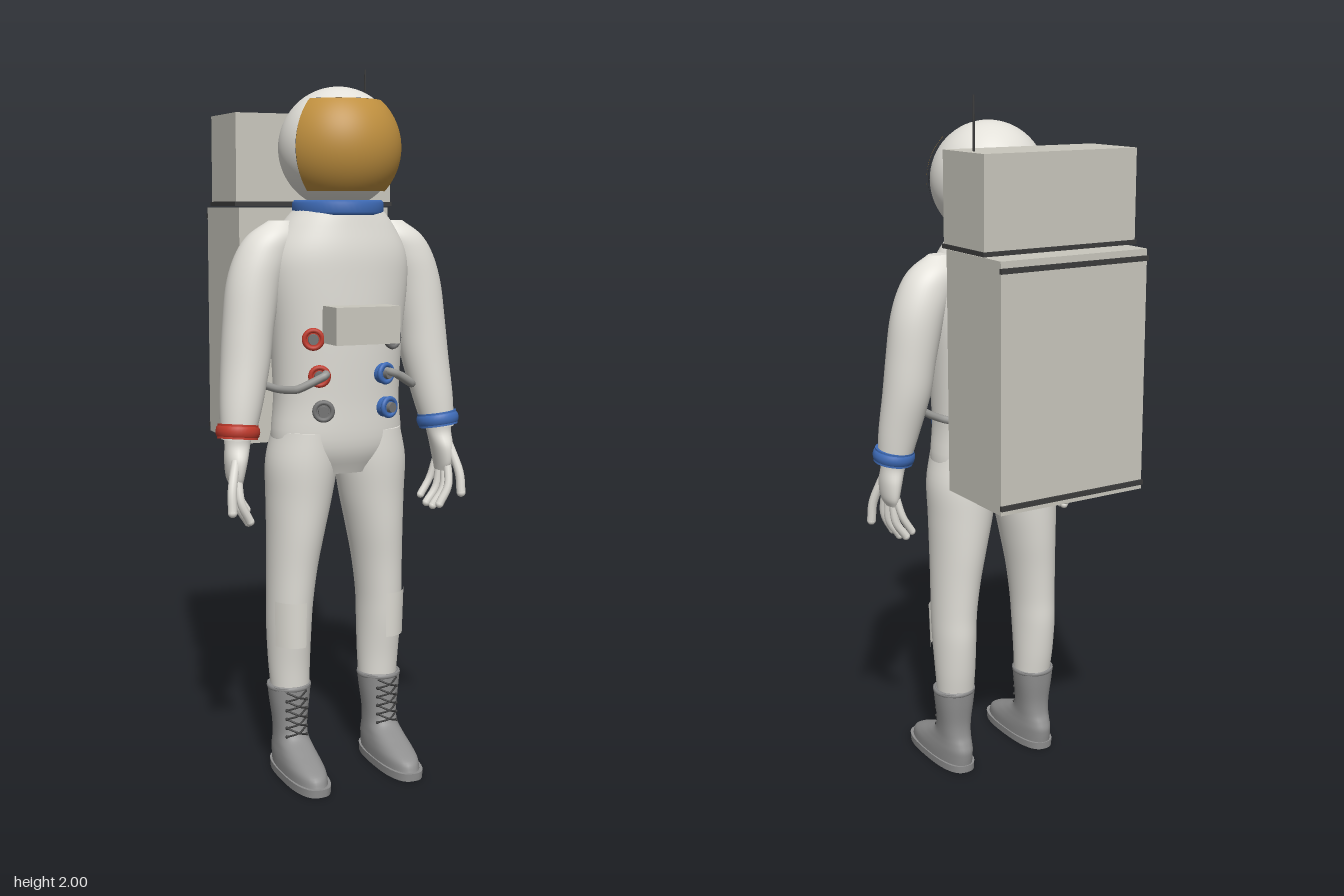
import * as THREE from 'three';

const mat = (name, color, extra = {}) => new THREE.MeshStandardMaterial({ name, color, ...extra });

export function createModel() {
  const root = new THREE.Group();
  root.name = 'spacesuitFigure';
  const suit = mat('suitWhite', 0xe2e0d9);
  const pack = mat('packGrey', 0xc9c7bd);
  const bootGrey = mat('bootGrey', 0x8f8f8f);
  const dark = mat('darkTrim', 0x3c3c3c);
  const gold = mat('visorGold', 0xc0903f);
  const blue = mat('blue', 0x3f6cb8);
  const red = mat('red', 0xbf3a2c);
  const hoseGrey = mat('hoseGrey', 0x9a9a97);
  const valveGrey = mat('valveGrey', 0x747474);
  const patchWhite = mat('patchWhite', 0xdedcd4, { side: THREE.DoubleSide });

  const add = (name, geo, material, pos = [0, 0, 0], parent = root) => {
    const m = new THREE.Mesh(geo, material);
    m.name = name;
    m.position.set(...pos);
    parent.add(m);
    return m;
  };

  // Smooth skin over horizontal rings [x, y, z, rx, rz], listed from bottom to top
  const loft = (rings, n = 2, seg = 40, per = 5) => {
    const centres = new THREE.CatmullRomCurve3(rings.map(r => new THREE.Vector3(r[0], r[1], r[2])), false, 'catmullrom');
    const radii = new THREE.CatmullRomCurve3(rings.map(r => new THREE.Vector3(r[3], 0, r[4])), false, 'catmullrom');
    const rows = (rings.length - 1) * per;
    const pos = [], idx = [];
    const pw = v => Math.sign(v) * Math.abs(v) ** (2 / n);
    const ring = t => {
      const c = centres.getPoint(t), r = radii.getPoint(t);
      for (let j = 0; j < seg; j++) {
        const a = j / seg * Math.PI * 2;
        pos.push(c.x + r.x * pw(Math.cos(a)), c.y, c.z + r.z * pw(Math.sin(a)));
      }
      return c;
    };
    for (let i = 0; i <= rows; i++) ring(i / rows);
    for (let i = 0; i < rows; i++) for (let j = 0; j < seg; j++) {
      const k = (j + 1) % seg, a = i * seg + j, b = i * seg + k;
      idx.push(a, a + seg, b, b, a + seg, b + seg);
    }
    for (const t of [0, 1]) {
      const base = pos.length / 3, c = ring(t), mid = base + seg;
      pos.push(c.x, c.y, c.z);
      for (let j = 0; j < seg; j++) {
        const a = base + j, b = base + (j + 1) % seg;
        t ? idx.push(mid, b, a) : idx.push(mid, a, b);
      }
    }
    const g = new THREE.BufferGeometry();
    g.setAttribute('position', new THREE.Float32BufferAttribute(pos, 3));
    g.setIndex(idx);
    g.computeVertexNormals();
    return g;
  };

  // Round tube through points
  const tube = (pts, r, n = 24, tension = 0.5) => new THREE.TubeGeometry(
    new THREE.CatmullRomCurve3(pts.map(p => new THREE.Vector3(...p)), false, 'catmullrom', tension), n, r, 10);

  // Torso
  add('torso', loft([
    [0, 0.87, 0.095, 0.13, 0.09], [0, 0.95, 0.1, 0.188, 0.118], [0, 1.08, 0.1, 0.182, 0.126],
    [0, 1.25, 0.1, 0.19, 0.136], [0, 1.4, 0.1, 0.205, 0.139], [0, 1.48, 0.1, 0.198, 0.138],
    [0, 1.55, 0.105, 0.16, 0.123], [0, 1.6, 0.11, 0.118, 0.11]], 2.2, 56), suit);

  // Helmet, visor and neck ring
  const c = [0, 1.76, 0.11];
  const patch = (r, phi, t0, t1) => new THREE.SphereGeometry(r, 40, 28, Math.PI / 2 - phi, phi * 2, t0, t1 - t0);
  add('helmet', new THREE.SphereGeometry(0.164, 48, 32), suit, c);
  add('visorRim', patch(0.1685, 1.15, 0.71, 2.33), dark, c);
  add('visor', patch(0.173, 1.12, 0.75, 2.31), gold, c);
  add('neckRing', new THREE.LatheGeometry([[0.09, -0.02], [0.12, -0.02], [0.126, -0.012], [0.126, 0.012],
    [0.12, 0.02], [0.09, 0.02]].map(p => new THREE.Vector2(...p)), 48), blue, [0, 1.6, 0.11]);

  // Backpack with trim strips and aerial
  add('lowerPack', new THREE.BoxGeometry(0.46, 0.67, 0.272), pack, [0, 1.265, -0.188]);
  add('upperPack', new THREE.BoxGeometry(0.476, 0.25, 0.206), pack, [0, 1.735, -0.155]);
  add('upperPackTrim', new THREE.BoxGeometry(0.484, 0.012, 0.212), dark, [0, 1.61, -0.156]);
  for (const y of [1.575, 0.95]) add('packStrip', new THREE.BoxGeometry(0.464, 0.014, 0.008), dark, [0, y, -0.326]);
  add('aerial', new THREE.CylinderGeometry(0.003, 0.003, 0.14, 8), dark, [0.205, 1.93, -0.155]);

  // Chest control box
  add('chestBox', new THREE.BoxGeometry(0.186, 0.1, 0.1), pack, [-0.002, 1.29, 0.267]);

  // Hose connectors
  const valve = (x, y, material) => {
    const g = new THREE.Group();
    g.name = 'connector';
    g.position.set(x, y, 0.1 + 0.133 * Math.sqrt(1 - (x / 0.187) ** 2));
    g.rotation.y = Math.sign(x) * 0.35;
    add('connectorBase', new THREE.CylinderGeometry(0.026, 0.029, 0.03, 24).rotateX(Math.PI / 2), material, [0, 0, 0.004], g);
    add('connectorRing', new THREE.TorusGeometry(0.024, 0.007, 10, 24), material, [0, 0, 0.016], g);
    add('connectorCap', new THREE.CylinderGeometry(0.014, 0.016, 0.02, 16).rotateX(Math.PI / 2), valveGrey, [0, 0, 0.02], g);
    root.add(g);
  };
  valve(-0.115, 1.25, red);
  valve(-0.1, 1.15, red);
  valve(0.11, 1.245, valveGrey);
  valve(-0.09, 1.055, valveGrey);
  valve(0.085, 1.15, blue);
  valve(0.098, 1.055, blue);

  for (const s of [1, -1]) {
    const side = s > 0 ? 'left' : 'right';
    const mir = list => list.map(([x, ...rest]) => [x * s, ...rest]);

    // Arm
    add(side + 'Arm', loft(mir([
      [0.306, 0.98, 0.132, 0.046, 0.05], [0.292, 1.07, 0.122, 0.059, 0.06], [0.274, 1.18, 0.107, 0.068, 0.07],
      [0.262, 1.28, 0.1, 0.071, 0.073], [0.243, 1.39, 0.095, 0.077, 0.074], [0.215, 1.47, 0.095, 0.08, 0.07],
      [0.188, 1.525, 0.097, 0.07, 0.058], [0.165, 1.565, 0.1, 0.035, 0.025]])), suit);

    // Wrist ring
    const ring = add(side + 'WristRing', new THREE.CylinderGeometry(0.056, 0.056, 0.04, 36), s > 0 ? blue : red, [0.306 * s, 0.998, 0.132]);
    ring.rotation.set(-0.12, 0, s * 0.1);
    const lip = add('wristRingLip', new THREE.TorusGeometry(0.05, 0.011, 10, 36).rotateX(Math.PI / 2), ring.material, [0, 0, 0], ring);
    lip.scale.y = 1.7;

    // Glove
    const glove = new THREE.Group();
    glove.name = side + 'Glove';
    root.add(glove);
    add('palm', loft(mir([[0.315, 0.85, 0.138, 0.014, 0.032], [0.318, 0.875, 0.14, 0.022, 0.044],
      [0.315, 0.92, 0.14, 0.03, 0.047], [0.309, 0.96, 0.135, 0.035, 0.037], [0.306, 0.99, 0.132, 0.038, 0.04]]), 2, 24), suit, [0, 0, 0], glove);
    for (const [r, ...pts] of [
      [0.013, [0.325, 0.925, 0.168], [0.345, 0.85, 0.193], [0.348, 0.79, 0.202]],
      [0.012, [0.32, 0.875, 0.168], [0.316, 0.81, 0.182], [0.29, 0.757, 0.18]],
      [0.012, [0.32, 0.87, 0.147], [0.315, 0.8, 0.155], [0.284, 0.748, 0.15]],
      [0.012, [0.316, 0.87, 0.127], [0.308, 0.8, 0.125], [0.278, 0.752, 0.122]],
      [0.011, [0.312, 0.875, 0.11], [0.298, 0.82, 0.102], [0.27, 0.772, 0.1]]]) {
      const p = mir(pts);
      add('finger', tube(p, r, 12), suit, [0, 0, 0], glove);
      add('fingertip', new THREE.SphereGeometry(r, 12, 8), suit, p[2], glove);
    }

    // Leg
    add(side + 'Leg', loft(mir([
      [0.138, 0.24, 0.088, 0.055, 0.057], [0.14, 0.32, 0.085, 0.059, 0.067], [0.141, 0.42, 0.087, 0.062, 0.079],
      [0.139, 0.5, 0.09, 0.064, 0.083], [0.132, 0.6, 0.091, 0.07, 0.09], [0.122, 0.7, 0.092, 0.08, 0.1],
      [0.112, 0.8, 0.093, 0.092, 0.107], [0.105, 0.9, 0.096, 0.1, 0.113], [0.1, 0.99, 0.1, 0.085, 0.11]])), suit);

    // Knee patch, a thin shell on the outer front of the leg
    const knee = add(side + 'KneePatch', new THREE.CylinderGeometry(1.03, 0.98, 0.13, 16, 1, true, s > 0 ? -0.25 : -1.1, 1.35), patchWhite, [0.14 * s, 0.445, 0.088]);
    knee.scale.set(0.066, 1, 0.092);

    // Boot with sole, collar and laces
    const boot = new THREE.Group();
    boot.name = side + 'Boot';
    boot.position.x = 0.142 * s;
    root.add(boot);
    add('sole', loft([[0, 0, 0.17, 0.056, 0.157], [0, 0.022, 0.17, 0.057, 0.158]], 2.6, 40, 1), bootGrey, [0, 0, 0], boot);
    add('upper', loft([
      [0, 0.018, 0.168, 0.053, 0.152], [0, 0.045, 0.16, 0.053, 0.147], [0, 0.065, 0.14, 0.051, 0.127],
      [0, 0.085, 0.118, 0.048, 0.097], [0, 0.11, 0.098, 0.046, 0.066], [0, 0.15, 0.093, 0.048, 0.057],
      [0, 0.21, 0.09, 0.056, 0.059], [0, 0.255, 0.089, 0.061, 0.061]], 2.3), bootGrey, [0, 0, 0], boot);
    const collar = add('collar', new THREE.TorusGeometry(0.059, 0.005, 8, 36).rotateX(Math.PI / 2), bootGrey, [0, 0.25, 0.089], boot);
    collar.scale.y = 1.5;
    for (let i = 0; i < 5; i++) {
      const y = 0.115 + i * 0.026;
      for (const d of [1, -1]) {
        add('lace', tube([[-0.03 * d, y, 0.148], [0, y + 0.013, 0.166], [0.03 * d, y + 0.026, 0.148]], 0.0028, 8), dark, [0, 0, 0], boot);
        add('laceEyelet', new THREE.SphereGeometry(0.005, 8, 6), dark, [0.03 * d, y, 0.148], boot);
      }
    }

    // Hose from the pack round the waist to the front connector
    add(side + 'Hose', tube(mir([[0.09, 1.157, 0.235], [0.105, 1.153, 0.258], [0.17, 1.118, 0.228], [0.2, 1.113, 0.165],
      [0.222, 1.12, 0.06], [0.218, 1.122, -0.005], [0.165, 1.11, -0.06]]), 0.011, 60, 0.3), hoseGrey);
  }
  return root;
}
